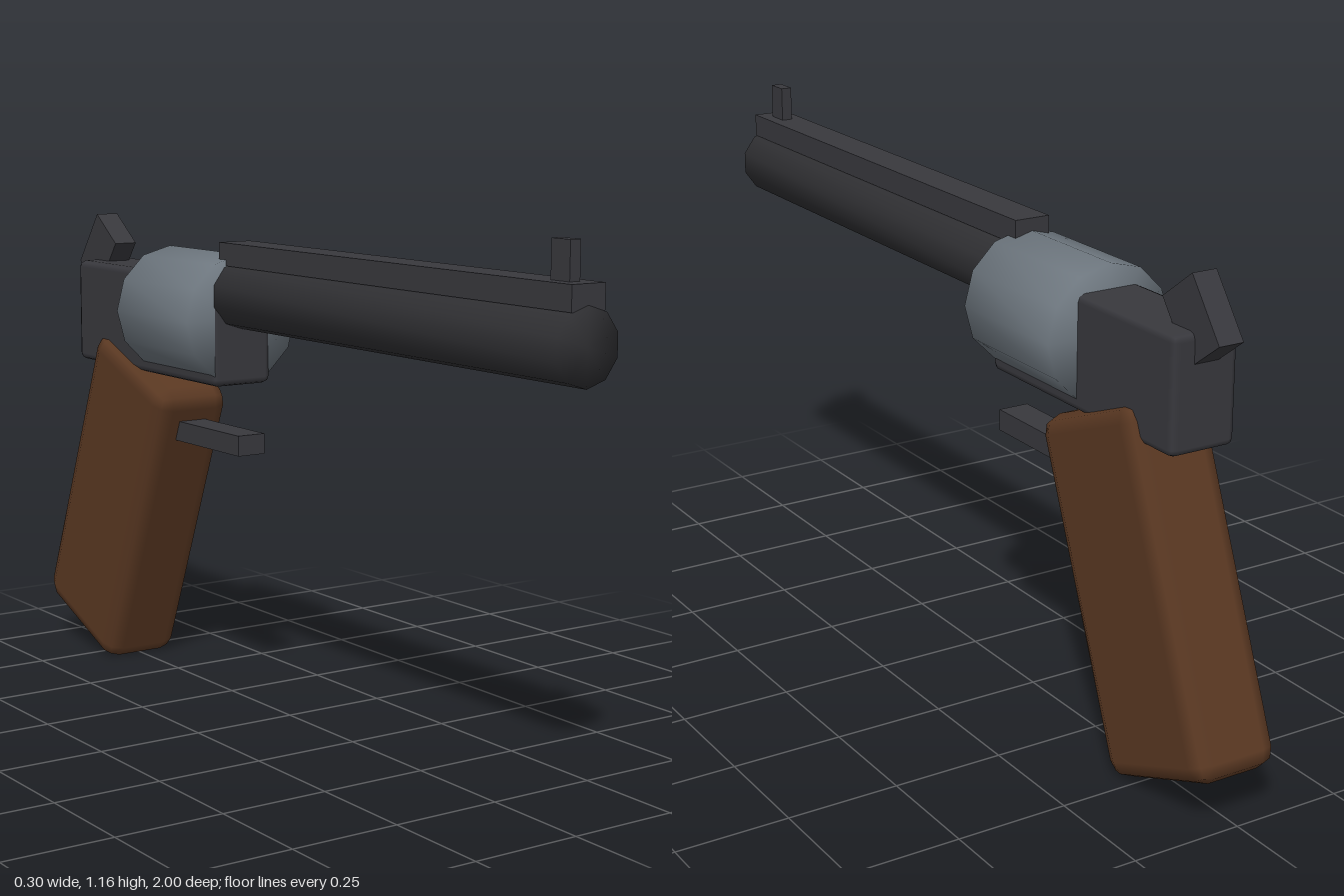
import * as THREE from 'three';
import { mergeVertices } from 'three/addons/utils/BufferGeometryUtils.js';
import { RoundedBoxGeometry } from 'three/addons/geometries/RoundedBoxGeometry.js';

const steel = new THREE.MeshStandardMaterial({ color: 0x38383d });
const darkSteel = new THREE.MeshStandardMaterial({ color: 0x2f2f32 });
const silver = new THREE.MeshStandardMaterial({ color: 0x6d767e });
const wood = new THREE.MeshStandardMaterial({ color: 0x5a3822 });

export function createModel() {
  const model = new THREE.Group();
  model.name = 'revolver';

  const add = (name, geometry, material, y, z, tilt = 0) => {
    const mesh = new THREE.Mesh(geometry, material);
    mesh.name = name;
    mesh.position.set(0, y, z);
    mesh.rotation.x = tilt;
    model.add(mesh);
  };

  // Low-poly rod along z, shaded smoothly across its end caps
  const rod = (radius, length, sides) => {
    const g = new THREE.CylinderGeometry(radius, radius, length, sides);
    g.rotateX(Math.PI / 2);
    g.deleteAttribute('normal');
    g.deleteAttribute('uv');
    const merged = mergeVertices(g);
    merged.computeVertexNormals();
    return merged;
  };
  const box = (w, h, d) => new THREE.BoxGeometry(w, h, d);
  const bevelBox = (w, h, d, r) => new RoundedBoxGeometry(w, h, d, 1, r);

  // Barrel with its top rail and front sight
  add('barrel', rod(0.08, 1.2, 10), darkSteel, 0.967, 0.4);
  add('topRail', box(0.084, 0.053, 1.23), steel, 1.0615, 0.385);
  add('frontSight', box(0.026, 0.084, 0.055), steel, 1.126, 0.9325);

  // Frame and the drum around it
  add('frame', bevelBox(0.156, 0.25, 0.65, 0.016), steel, 0.88, -0.52);
  add('drum', rod(0.15, 0.32, 12), silver, 0.91, -0.36);

  // Hammer, trigger and grip
  add('hammer', box(0.058, 0.153, 0.115), steel, 1.024, -0.828, 0.637);
  add('trigger', box(0.072, 0.048, 0.34), steel, 0.619, -0.33);
  add('grip', bevelBox(0.2, 0.773, 0.353, 0.04), wood, 0.415, -0.705, 0.383);

  return model;
}
